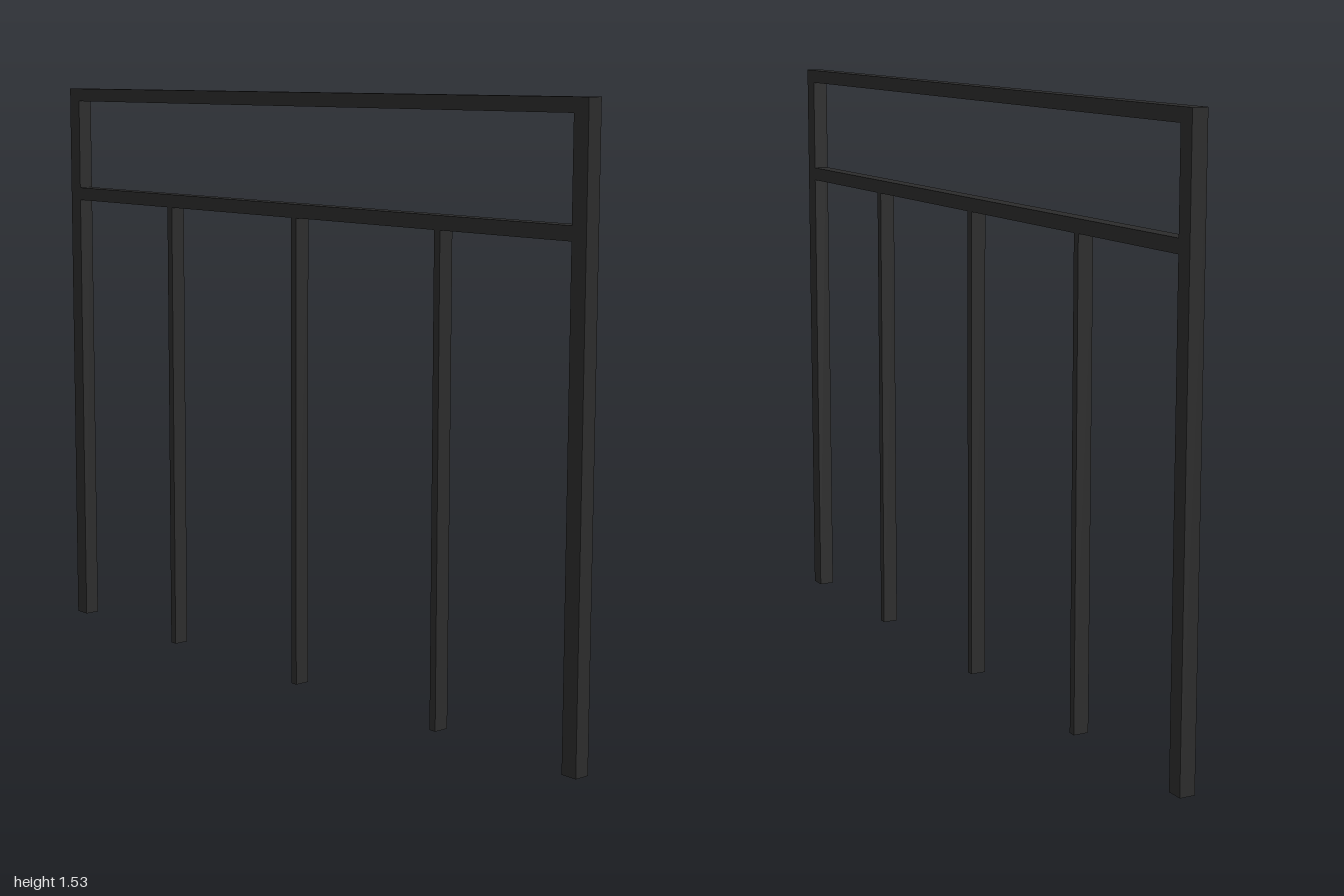
import * as THREE from 'three';

export function createModel() {
  const group = new THREE.Group();
  const metal = new THREE.MeshStandardMaterial({ color: 0x2b2b2b });
  metal.name = 'dark metal';

  const height = 1.53;
  const depth = 0.04; // common bar thickness across x
  const post = 0.044; // end post width along z
  const rail = 0.035; // rail height

  // Bar spanning bottom..top in y, centred on z
  function bar(name, bottom, top, z, length) {
    const mesh = new THREE.Mesh(new THREE.BoxGeometry(depth, top - bottom, length), metal);
    mesh.name = name;
    mesh.position.set(0, (bottom + top) / 2, z);
    group.add(mesh);
  }

  // End posts
  bar('frontPost', 0, height, 1 - post / 2, post);
  bar('backPost', 0, height, -1 + post / 2, post);

  // Horizontal rails fitted between the posts
  const span = 2 - 2 * post;
  const railBottom = 1.215;
  bar('topRail', height - rail, height, 0, span);
  bar('middleRail', railBottom, railBottom + rail, 0, span);

  // Thin balusters below the middle rail
  ['front', 'middle', 'back'].forEach((place, i) => {
    bar(place + 'Baluster', 0, railBottom, (1 - i) * 0.527, 0.02);
  });

  return group;
}
